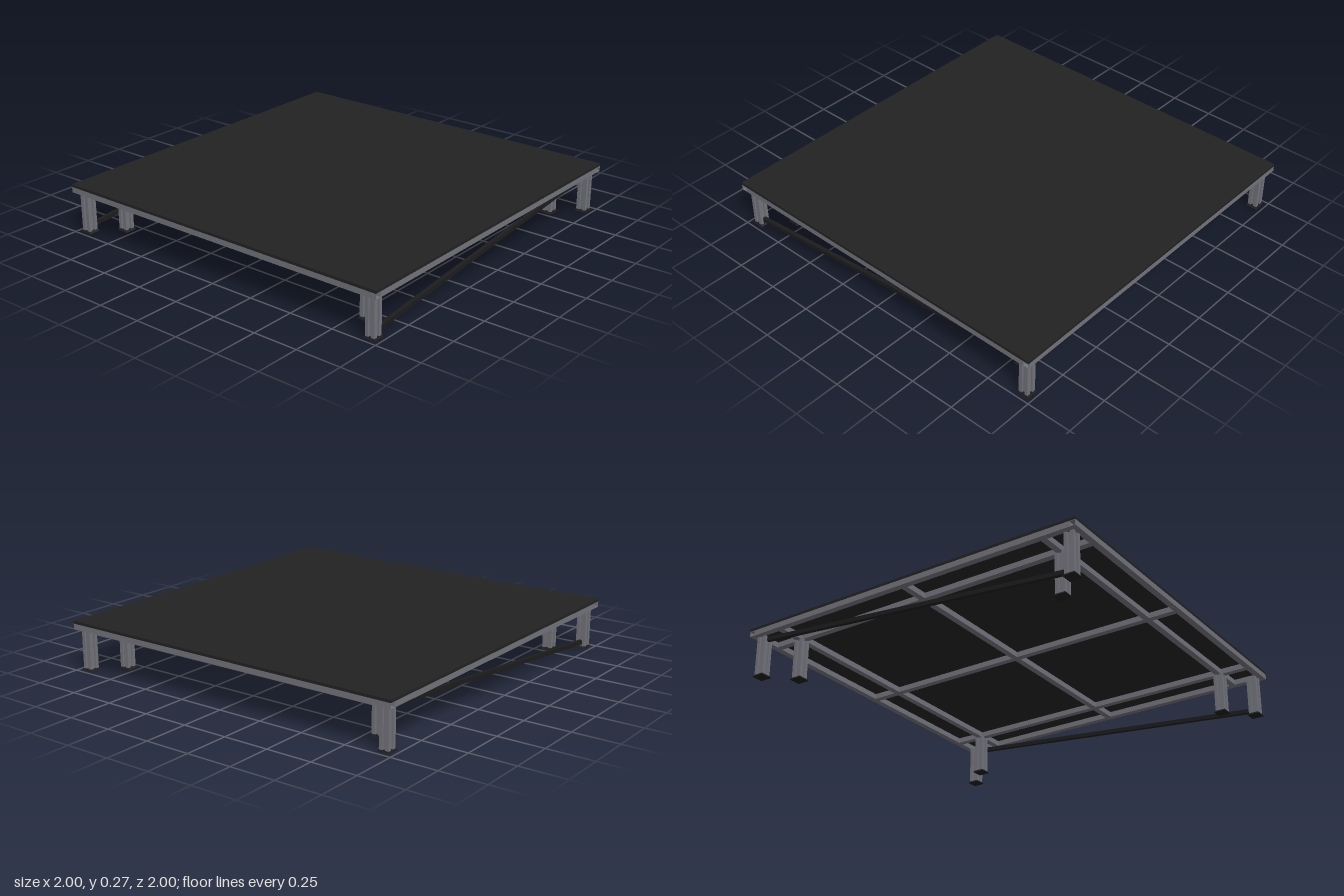
import * as THREE from 'three';

const deckBlack = new THREE.MeshStandardMaterial({ name: 'deckBlack', color: 0x222222 });
const steelGrey = new THREE.MeshStandardMaterial({ name: 'steelGrey', color: 0x73747c });
const fittingBlack = new THREE.MeshStandardMaterial({ name: 'fittingBlack', color: 0x1c1c1e });

const BEAM = 0.034;      // beam width
const BEAM_H = 0.03;     // beam height
const FRAME_Y = 0.24;    // beam centre height
const LEG_TOP = 0.226;

function add(parent, name, geometry, material, x, y, z) {
  const mesh = new THREE.Mesh(geometry, material);
  mesh.name = name;
  mesh.position.set(x, y, z);
  parent.add(mesh);
  return mesh;
}

function rect(target, w, h) {
  target.moveTo(-w / 2, -h / 2);
  target.lineTo(w / 2, -h / 2);
  target.lineTo(w / 2, h / 2);
  target.lineTo(-w / 2, h / 2);
  target.closePath();
  return target;
}

// Hollow rectangular tube along z, open at both ends
function tubeGeometry(length) {
  const wall = 0.003;
  const shape = rect(new THREE.Shape(), BEAM, BEAM_H);
  shape.holes.push(rect(new THREE.Path(), BEAM - 2 * wall, BEAM_H - 2 * wall));
  const g = new THREE.ExtrudeGeometry(shape, { depth: length, bevelEnabled: false });
  return g.translate(0, 0, -length / 2);
}

// Upright post with a groove down each of its four sides
function postGeometry(height) {
  const r = 0.027, g = 0.008, d = 0.017;
  const side = [[-r, -r], [-g, -r], [-g, -d], [g, -d], [g, -r]];
  const points = [];
  for (let i = 0; i < 4; i++) {
    const a = i * Math.PI / 2, c = Math.cos(a), s = Math.sin(a);
    for (const [x, y] of side) points.push(new THREE.Vector2(x * c - y * s, x * s + y * c));
  }
  const geo = new THREE.ExtrudeGeometry(new THREE.Shape(points), { depth: height, bevelEnabled: false });
  return geo.rotateX(-Math.PI / 2);
}

// Square foot plate, narrower at the top
function footGeometry() {
  const g = new THREE.CylinderGeometry(0.028 * Math.SQRT2, 0.034 * Math.SQRT2, 0.01, 4).toNonIndexed();
  g.rotateY(Math.PI / 4);
  g.computeVertexNormals();
  return g;
}

export function createModel() {
  const model = new THREE.Group();
  model.name = 'stagePlatform';

  // Deck board
  add(model, 'deck', new THREE.BoxGeometry(2, 0.015, 2), deckBlack, 0, 0.2625, 0);

  // Under-deck frame
  const frame = new THREE.Group();
  frame.name = 'frame';
  model.add(frame);
  const edge = 1 - BEAM / 2;
  const inner = 2 - 2 * BEAM;
  const crossTube = (name, length, z) =>
    add(frame, name, tubeGeometry(length).rotateY(Math.PI / 2), steelGrey, 0, FRAME_Y, z);

  for (const s of [-1, 1]) {
    crossTube('endBeam', 2, s * edge);
    add(frame, 'sideBeam', tubeGeometry(inner), steelGrey, s * edge, FRAME_Y, 0);
  }
  const lines = [-0.81, 0, 0.81];
  for (const z of lines) crossTube('crossBeam', inner, z);

  // Lengthwise beams fitted between the cross beams
  const stops = [-edge, ...lines, edge];
  for (const x of lines) {
    for (let i = 0; i < stops.length - 1; i++) {
      const length = stops[i + 1] - stops[i] - BEAM;
      add(frame, 'lengthBeam', tubeGeometry(length), steelGrey, x, FRAME_Y, (stops[i] + stops[i + 1]) / 2);
    }
  }

  // Two legs set diagonally at each corner
  const post = postGeometry(LEG_TOP - 0.008);
  const foot = footGeometry();
  for (const sx of [-1, 1]) {
    for (const sz of [-1, 1]) {
      for (const d of [0.945, 0.81]) {
        const leg = new THREE.Group();
        leg.name = d > 0.9 ? 'outerLeg' : 'innerLeg';
        leg.position.set(sx * d, 0, sz * d);
        add(leg, 'post', post, steelGrey, 0, 0.008, 0);
        add(leg, 'foot', foot, fittingBlack, 0, 0.005, 0);
        model.add(leg);
      }
    }
  }

  // Diagonal braces, low at the front and high at the back
  const reach = 0.925, low = 0.032, high = 0.212;
  const braceLength = Math.hypot(2 * reach, high - low);
  for (const s of [-1, 1]) {
    const brace = add(model, 'brace', new THREE.BoxGeometry(0.022, 0.022, braceLength), fittingBlack,
      s * 0.945, (low + high) / 2, 0);
    brace.rotation.x = Math.atan2(high - low, 2 * reach);
  }

  return model;
}
